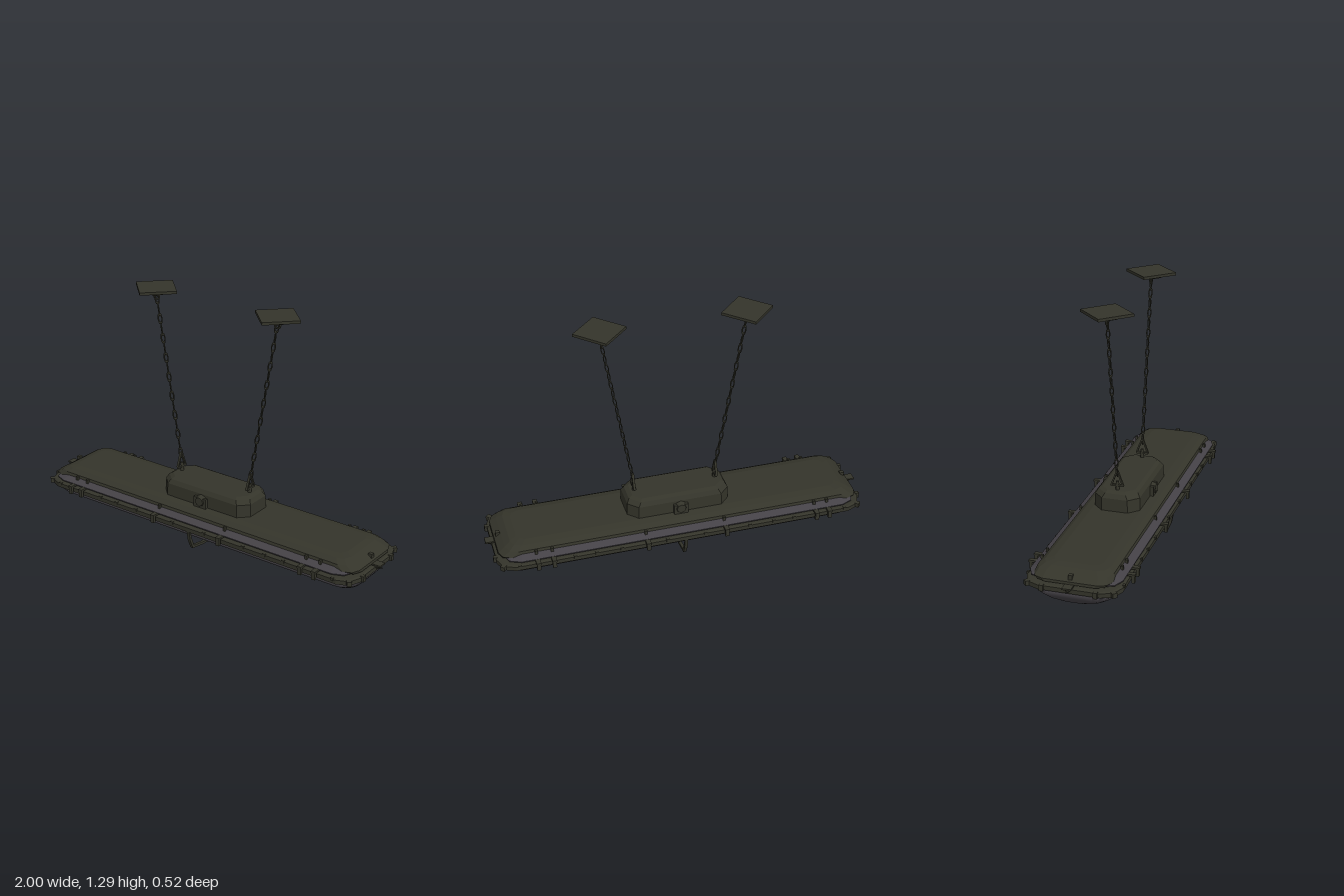
import * as THREE from 'three';

const olive = new THREE.MeshStandardMaterial({ color: 0x34342a });
olive.name = 'darkOlivePaint';
const lens = new THREE.MeshStandardMaterial({ color: 0x444146 });
lens.name = 'smokyLens';

// Stack of rounded rectangles, bottom to top: each level is [y, halfX, halfZ, cornerRadius]
function loft(levels, seg, smooth = false) {
  const pos = [], idx = [], n = 4 * (seg + 1);
  for (const [y, hx, hz, r] of levels) {
    for (let q = 0; q < 4; q++) {
      const sx = q === 0 || q === 3 ? 1 : -1, sz = q < 2 ? -1 : 1;
      for (let k = 0; k <= seg; k++) {
        const a = (q + k / seg) * Math.PI / 2;
        pos.push(sx * (hx - r) + Math.cos(a) * r, y, sz * (hz - r) - Math.sin(a) * r);
      }
    }
  }
  const last = (levels.length - 1) * n;
  for (let l = 0; l < last; l += n) {
    for (let i = 0; i < n; i++) {
      const j = (i + 1) % n;
      idx.push(l + i, l + j, l + n + j, l + i, l + n + j, l + n + i);
    }
  }
  for (let i = 1; i < n - 1; i++) idx.push(0, i + 1, i, last, last + i, last + i + 1);
  let g = new THREE.BufferGeometry();
  g.setAttribute('position', new THREE.Float32BufferAttribute(pos, 3));
  g.setIndex(idx);
  if (!smooth) g = g.toNonIndexed();
  g.computeVertexNormals();
  return g;
}

function add(parent, name, geometry, material, x = 0, y = 0, z = 0) {
  const m = new THREE.Mesh(geometry, material);
  m.name = name;
  m.position.set(x, y, z);
  parent.add(m);
  return m;
}

// Flat strap following a line of [a, y] points, extruded to a width
function strap(outer, inner, width) {
  const pts = [...outer, ...inner.slice().reverse()].map(p => new THREE.Vector2(...p));
  const g = new THREE.ExtrudeGeometry(new THREE.Shape(pts), { depth: width, bevelEnabled: false });
  return g.translate(0, 0, -width / 2);
}

export function createModel() {
  const model = new THREE.Group();
  model.name = 'hangingLamp';

  // Lamp body
  add(model, 'diffuser', loft([
    [0.04, 0.88, 0.05, 0.045], [0.044, 0.9, 0.1, 0.07], [0.058, 0.915, 0.15, 0.08],
    [0.08, 0.932, 0.185, 0.09], [0.122, 0.955, 0.222, 0.1],
  ], 5, true), lens);
  add(model, 'rim', loft([
    [0.119, 0.955, 0.225, 0.08], [0.124, 0.965, 0.234, 0.085],
    [0.146, 0.965, 0.234, 0.085], [0.151, 0.955, 0.225, 0.08],
  ], 2), olive);
  add(model, 'lensFlange', loft([
    [0.163, 0.93, 0.226, 0.08], [0.168, 0.93, 0.226, 0.08], [0.188, 0.9, 0.185, 0.06],
  ], 2), lens);
  add(model, 'housing', loft([
    [0.163, 0.952, 0.18, 0.06], [0.176, 0.95, 0.192, 0.06], [0.2, 0.915, 0.184, 0.06],
    [0.217, 0.885, 0.158, 0.05], [0.224, 0.85, 0.12, 0.04],
  ], 2), olive);

  // Wiring box on top, with a knob and lugs on each long side
  add(model, 'wiringBox', loft([
    [0.21, 0.27, 0.118, 0.05], [0.29, 0.268, 0.116, 0.05],
    [0.312, 0.255, 0.103, 0.05], [0.322, 0.235, 0.085, 0.04],
  ], 1), olive);
  for (const s of [1, -1]) {
    add(model, 'knob', new THREE.CylinderGeometry(0.024, 0.036, 0.03, 8), olive, 0, 0.255, s * 0.125)
      .rotation.x = s * Math.PI / 2;
    add(model, 'knobBase', new THREE.BoxGeometry(0.075, 0.06, 0.024), olive, 0, 0.245, s * 0.122);
    add(model, 'endLatch', new THREE.BoxGeometry(0.022, 0.05, 0.02), olive, s * 0.93, 0.18, 0);
  }

  // Clips along the long edges
  for (const s of [1, -1]) {
    for (const x of [-0.77, -0.7, -0.21, 0.205, 0.69, 0.77]) {
      const clip = new THREE.Group();
      clip.name = 'clip';
      clip.position.set(x, 0, s * 0.232);
      add(clip, 'clipArm', new THREE.BoxGeometry(0.024, 0.01, 0.06), olive, 0, 0.162, 0);
      add(clip, 'clipHook', new THREE.BoxGeometry(0.02, 0.036, 0.014), olive, 0, 0.14, s * 0.02);
      add(clip, 'clipStem', new THREE.BoxGeometry(0.014, 0.04, 0.012), olive, 0, 0.18, -s * 0.036);
      model.add(clip);
    }
    for (const x of [-0.86, -0.58, -0.47, -0.34, -0.1, 0.1, 0.34, 0.47, 0.58, 0.86]) {
      add(model, 'rimStud', new THREE.BoxGeometry(0.016, 0.014, 0.012), olive, x, 0.147, s * 0.233);
    }
  }

  // End hooks and corner studs
  for (const s of [1, -1]) {
    add(model, 'endHook', new THREE.ConeGeometry(0.022, 0.05, 4), olive, s * 0.975, 0.145, 0)
      .rotation.z = -s * Math.PI / 2;
    add(model, 'endClip', new THREE.BoxGeometry(0.05, 0.008, 0.045), olive, s * 0.972, 0.16, 0);
    for (const z of [-0.13, 0.13]) {
      add(model, 'endStud', new THREE.BoxGeometry(0.02, 0.03, 0.02), olive, s * 0.968, 0.138, z);
    }
    for (const t of [1, -1]) {
      add(model, 'cornerStud', new THREE.BoxGeometry(0.024, 0.024, 0.024), olive, s * 0.94, 0.138, t * 0.21)
        .rotation.y = Math.PI / 4;
    }
  }

  // Guard strap passing under the diffuser
  const outer = [[-0.232, 0.125], [-0.222, 0.07], [-0.2, 0.02], [-0.12, 0.008], [0, 0],
    [0.12, 0.008], [0.2, 0.02], [0.222, 0.07], [0.232, 0.125]];
  const inner = outer.map(([a, y]) => [a * 0.95, y > 0.1 ? y : y + 0.012]);
  add(model, 'guardStrap', strap(outer, inner, 0.016), olive).rotation.y = Math.PI / 2;

  // Suspension: shackle, chain, hook and ceiling plate on each side
  for (const s of [1, -1]) {
    const hanger = new THREE.Group();
    hanger.name = s > 0 ? 'leftHanger' : 'rightHanger';
    model.add(hanger);
    add(hanger, 'shacklePost', new THREE.CylinderGeometry(0.008, 0.011, 0.05, 6), olive, s * 0.215, 0.342, 0);
    add(hanger, 'shacklePin', new THREE.BoxGeometry(0.014, 0.01, 0.066), olive, s * 0.217, 0.346, 0);
    for (const t of [1, -1]) {
      add(hanger, 'shackleArm', new THREE.BoxGeometry(0.012, 0.082, 0.008), olive, s * 0.219, 0.384, t * 0.016)
        .rotation.x = -t * 0.36;
    }

    // Chain links, alternately turned a quarter
    const from = new THREE.Vector3(s * 0.223, 0.42, 0), to = new THREE.Vector3(s * 0.363, 1.225, 0);
    const lean = Math.atan2(to.x - from.x, to.y - from.y);
    const linkGeo = new THREE.TorusGeometry(0.0095, 0.0034, 4, 8).scale(1, 2.5, 1);
    const count = 17;
    for (let i = 0; i < count; i++) {
      const p = from.clone().lerp(to, i / (count - 1));
      const link = add(hanger, 'chainLink', linkGeo, olive, p.x, p.y, p.z);
      link.rotation.set(0, Math.PI / 4 + i * Math.PI / 2, -lean, 'ZYX');
    }

    add(hanger, 'ceilingHook', new THREE.TorusGeometry(0.018, 0.005, 5, 10), olive, s * 0.366, 1.243, 0);
    const plate = add(hanger, 'ceilingPlate', new THREE.BoxGeometry(0.186, 0.014, 0.186), olive, s * 0.367, 1.283, 0);
    plate.rotation.y = Math.PI / 4;
    const boss = add(hanger, 'plateBoss', new THREE.CylinderGeometry(0.068, 0.062, 0.014, 8), olive, s * 0.367, 1.269, 0);
    boss.rotation.y = Math.PI / 8;
  }
  return model;
}
